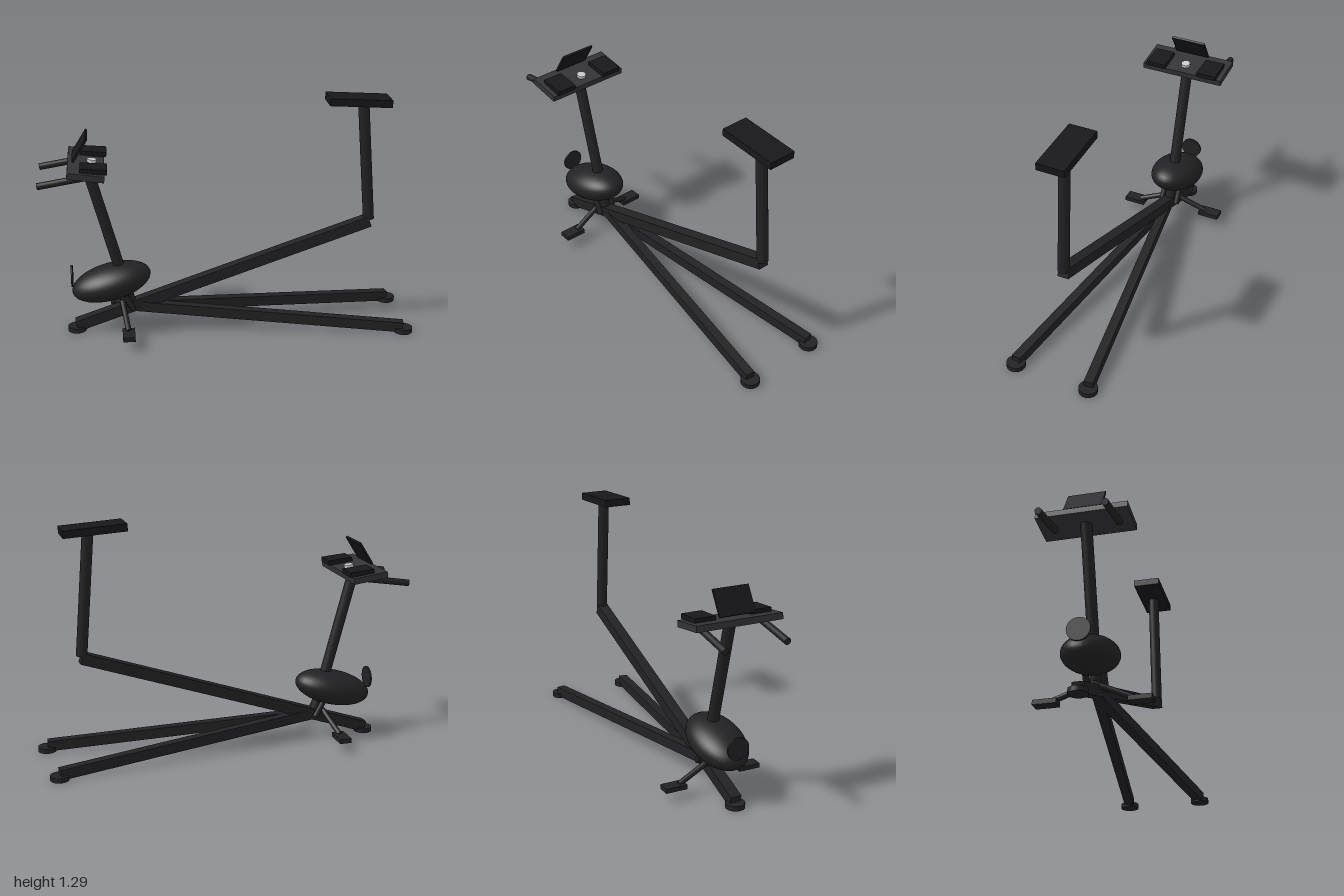
import * as THREE from 'three';

const paint = (color) => new THREE.MeshStandardMaterial({ color });
const V = (x, y, z = 0) => new THREE.Vector3(x, y, z);

export function createModel() {
  const bike = new THREE.Group();
  bike.name = 'exerciseBike';
  const frame = paint(0x222224), trim = paint(0x333338), pad = paint(0x17171c), grey = paint(0xcccccc);

  const add = (name, geometry, material, position, tilt = 0) => {
    const mesh = new THREE.Mesh(geometry, material);
    mesh.name = name;
    mesh.position.copy(position);
    mesh.rotation.z = tilt;
    bike.add(mesh);
    return mesh;
  };
  const box = (name, size, material, position, tilt) =>
    add(name, new THREE.BoxGeometry(...size), material, position, tilt);

  // Rectangular beam between two points, kept upright
  const beam = (name, a, b, width, height) => {
    const mesh = box(name, [width, height, a.distanceTo(b)], frame, a.clone().lerp(b, 0.5));
    mesh.lookAt(b);
  };
  // Round tube between two points
  const rod = (name, a, b, radius, material = frame) => {
    const mesh = add(name, new THREE.CylinderGeometry(radius, radius, a.distanceTo(b), 20), material, a.clone().lerp(b, 0.5));
    mesh.quaternion.setFromUnitVectors(V(0, 1), b.clone().sub(a).normalize());
  };
  const foot = (name, x, z) => add(name, new THREE.CylinderGeometry(0.05, 0.05, 0.026, 24), frame, V(x, 0.021, z));

  // Frame: long sloping beam, two rear legs, posts
  beam('mainBeam', V(-0.83, 0.04), V(0.78, 0.59), 0.06, 0.06);
  rod('seatPost', V(0.777, 0.6), V(0.725, 1.25), 0.03);
  rod('handlebarPost', V(-0.53, 0.15), V(-0.745, 0.955), 0.03);
  foot('frontFoot', -0.83, 0);

  // Seat
  box('seat', [0.333, 0.04, 0.15], pad, V(0.698, 1.27), -0.06);

  // Flywheel housing and small front disc
  const housing = add('flywheelHousing', new THREE.SphereGeometry(1, 32, 20), frame, V(-0.635, 0.29), 0.25);
  housing.scale.set(0.22, 0.095, 0.14);
  add('frontDisc', new THREE.CylinderGeometry(0.06, 0.06, 0.01, 28), frame, V(-0.846, 0.33), Math.PI / 2);

  // Handlebar plate, display and adjustment knob
  box('handlebarPlate', [0.192, 0.033, 0.472], trim, V(-0.747, 0.964), -0.14);
  box('display', [0.012, 0.142, 0.196], pad, V(-0.775, 1.066), -0.56);
  add('knob', new THREE.CylinderGeometry(0.025, 0.025, 0.02, 20), grey, V(-0.715, 0.982), -0.14);

  // Mirrored parts
  for (const s of [1, -1]) {
    beam('rearLeg', V(-0.51, 0.145, 0), V(0.945, 0.04, s * 0.21), 0.05, 0.056);
    foot('rearFoot', 0.948, s * 0.21);
    box('armPad', [0.14, 0.026, 0.112], pad, V(-0.707, 0.987, s * 0.153), -0.09);
    rod('handle', V(-0.997, 0.905, s * 0.166), V(-0.73, 0.948, s * 0.166), 0.018);
    rod('housingBracket', V(-0.57, 0.23, s * 0.046), V(-0.52, 0.14, s * 0.046), 0.016);
    // Cranks and pedals are offset in opposite directions along the bike
    const x = -0.58 + s * 0.028;
    rod('crank', V(-0.578, 0.165, 0), V(x, 0.08, s * 0.2), 0.015);
    box('pedal', [0.066, 0.025, 0.12], frame, V(x, 0.072, s * 0.228));
  }
  return bike;
}
